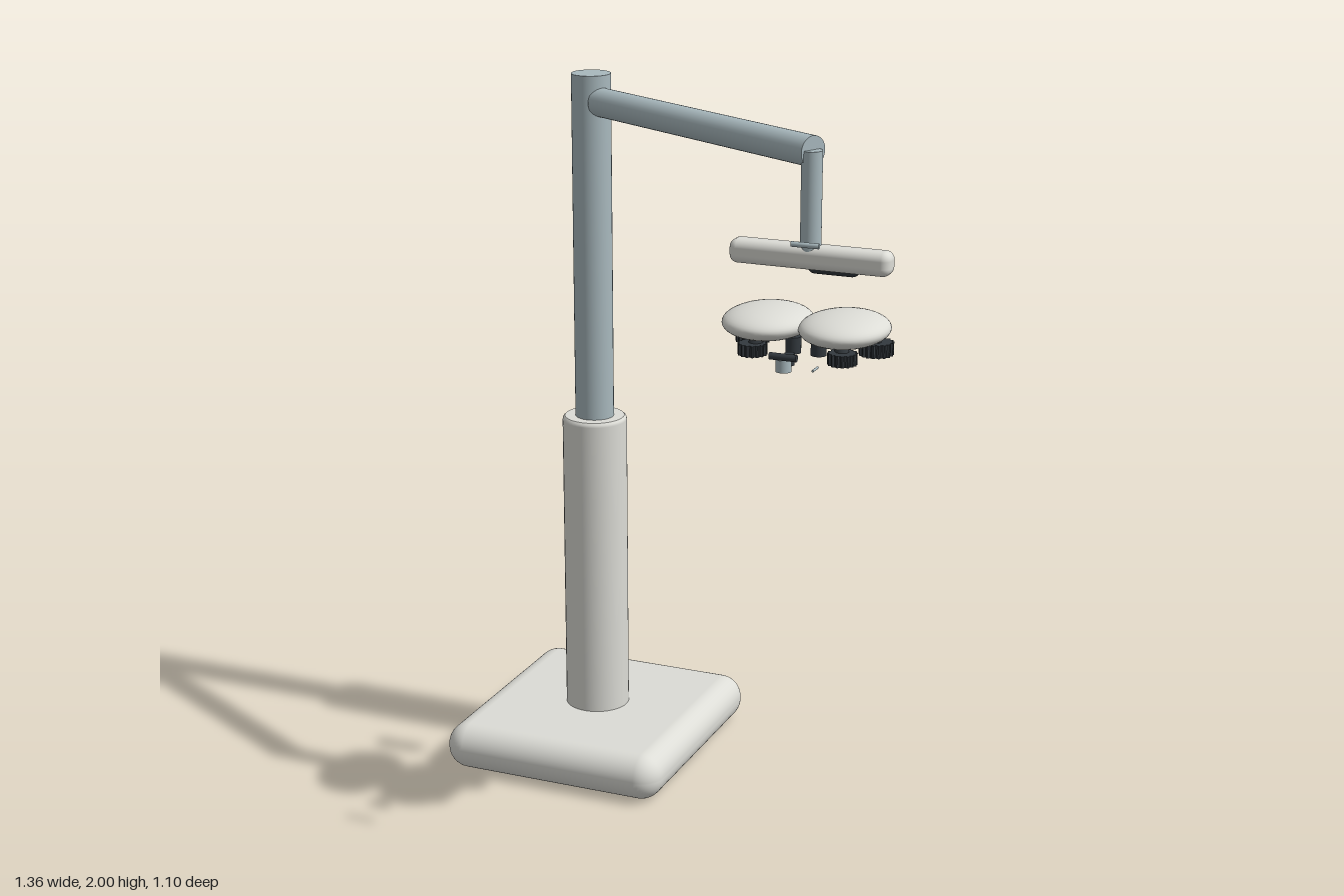
import * as THREE from 'three';
import { RoundedBoxGeometry } from 'three/addons/geometries/RoundedBoxGeometry.js';

const ivory = new THREE.MeshStandardMaterial({ color: 0xdcdcd6 });
const steel = new THREE.MeshStandardMaterial({ color: 0xa9b9be });
const dark = new THREE.MeshStandardMaterial({ color: 0x33393e });

export function createModel() {
  const model = new THREE.Group();
  model.name = 'examinationStand';

  const add = (name, geometry, material, x, y, z) => {
    const mesh = new THREE.Mesh(geometry, material);
    mesh.name = name;
    mesh.position.set(x, y, z);
    model.add(mesh);
    return mesh;
  };
  // Cylinder between two points
  const rod = (name, a, b, r, material) => {
    const p = new THREE.Vector3(...a), q = new THREE.Vector3(...b);
    const dir = q.clone().sub(p);
    const mid = p.add(q).multiplyScalar(0.5);
    const mesh = add(name, new THREE.CylinderGeometry(r, r, dir.length(), 32), material, mid.x, mid.y, mid.z);
    mesh.quaternion.setFromUnitVectors(new THREE.Vector3(0, 1, 0), dir.normalize());
    return mesh;
  };
  // Ribbed wheel with a vertical axis
  const wheel = (name, x, y, z, r, h, teeth) => {
    const shape = new THREE.Shape();
    for (let i = 0; i < teeth * 4; i++) {
      const a = (i / (teeth * 4)) * Math.PI * 2;
      const radius = i % 4 < 2 ? r : r * 0.88;
      shape[i ? 'lineTo' : 'moveTo'](Math.cos(a) * radius, Math.sin(a) * radius);
    }
    const geometry = new THREE.ExtrudeGeometry(shape, { depth: h, bevelEnabled: false });
    geometry.translate(0, 0, -h / 2).rotateX(Math.PI / 2);
    return add(name, geometry, dark, x, y, z);
  };

  // Base and telescopic column
  const cx = -0.345, cz = -0.19;
  add('base', new RoundedBoxGeometry(0.67, 0.135, 0.72, 6, 0.065), ivory, cx, 0.0675, cz);
  const sleeve = [[0, 0.1], [0.092, 0.1], [0.092, 1.008], [0.09, 1.015], [0.085, 1.02], [0, 1.02]];
  // Repeated corner points keep the rims crisp
  const profile = sleeve.flatMap(([r, y], i) => (i === 1 || i === 4 ? [[r, y], [r, y]] : [[r, y]]))
    .map(([r, y]) => new THREE.Vector2(r, y));
  add('columnSleeve', new THREE.LatheGeometry(profile, 40), ivory, cx, 0, cz);
  rod('columnPost', [cx, 1.0, cz], [cx, 2.0, cz], 0.055, steel);

  // Swing arm and drop tube
  rod('swingArm', [-0.31, 1.926, -0.168], [0.458, 1.926, 0.24], 0.04, steel);
  rod('dropTube', [0.457, 1.93, 0.245], [0.457, 1.675, 0.245], 0.027, steel);

  // Cross bar with its level, and the grip behind
  const hx = 0.458;
  add('crossBar', new RoundedBoxGeometry(0.43, 0.063, 0.063, 5, 0.022), ivory, hx, 1.659, 0.242);
  rod('level', [hx - 0.037, 1.698, 0.288], [hx + 0.037, 1.698, 0.288], 0.007, steel);
  add('grip', new THREE.CapsuleGeometry(0.022, 0.101, 8, 20), dark, hx, 1.591, 0.066)
    .rotation.z = Math.PI / 2;

  // Mirrored lens housings with their controls
  for (const side of [-1, 1]) {
    const label = side > 0 ? 'left' : 'right';
    add(label + 'LensHousing', new THREE.SphereGeometry(1, 40, 24), ivory, hx + side * 0.103, 1.49, 0.27)
      .scale.set(0.115, 0.042, 0.138);
    wheel(label + 'OuterDial', hx + side * 0.167, 1.43, 0.21, 0.045, 0.034, 18);
    wheel(label + 'FrontDial', hx + side * 0.12, 1.43, 0.335, 0.038, 0.03, 16);
    rod(label + 'DialHub', [hx + side * 0.167, 1.415, 0.21], [hx + side * 0.155, 1.475, 0.22], 0.02, dark);
    rod(label + 'FrontHub', [hx + side * 0.12, 1.415, 0.335], [hx + side * 0.11, 1.475, 0.315], 0.018, dark);
    rod(label + 'EyeCup', [hx + side * 0.034, 1.412, 0.27], [hx + side * 0.034, 1.455, 0.27], 0.02, dark);
    rod(label + 'RestPin', [hx + side * 0.034, 1.381, 0.275], [hx + side * 0.034, 1.381, 0.312], 0.003, steel);
  }

  // Central adjusters in front of the housings
  rod('centreKnob', [hx, 1.415, 0.39], [hx, 1.445, 0.39], 0.013, dark);
  rod('frontKnob', [hx, 1.41, 0.433], [hx, 1.442, 0.433], 0.02, steel);
  rod('nearCardRod', [0.46, 1.478, 0.536], [0.53, 1.478, 0.536], 0.009, dark);

  return model;
}
